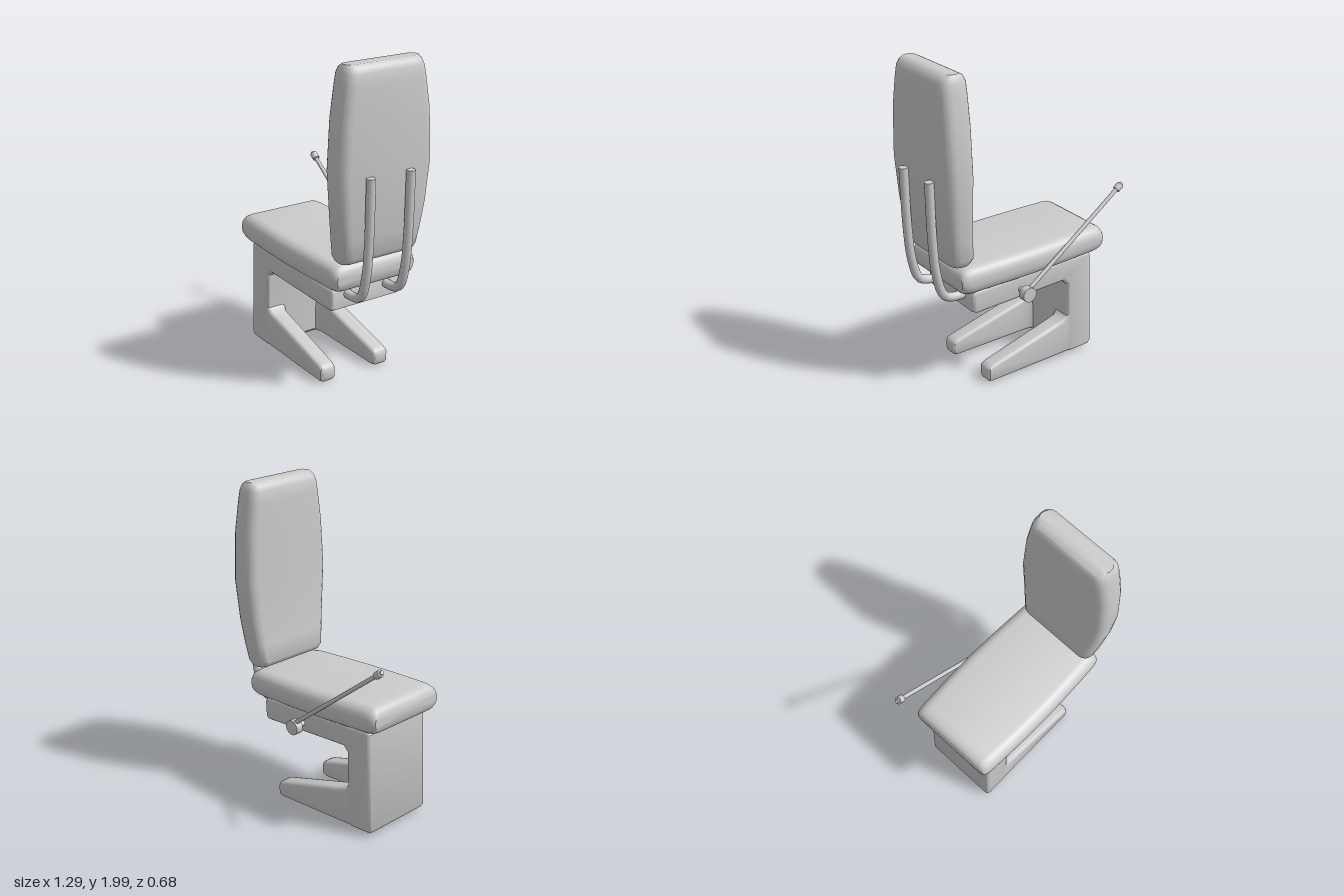
import * as THREE from 'three';
import { toCreasedNormals } from 'three/addons/utils/BufferGeometryUtils.js';

const MID = 0.01; // z of the chair's centre plane
const material = new THREE.MeshStandardMaterial({ color: 0xcccccc });
const V = (x, y, z) => new THREE.Vector3(x, y, z);

function add(group, name, geometry, crease = 0.7) {
  const mesh = new THREE.Mesh(crease ? toCreasedNormals(geometry, crease) : geometry, material);
  mesh.name = name;
  group.add(mesh);
  return mesh;
}

// Skin through rounded rectangles; stations are [t, centreA, centreB, halfA, halfB, radius].
function loft(stations, place, steps = 4) {
  const pos = [], index = [], n = 4 * (steps + 1);
  const push = (t, a, b) => pos.push(...place(t, a, b).toArray());
  for (const [t, ca, cb, ha, hb, r] of stations) {
    for (let c = 0; c < 4; c++) {
      const sa = c === 0 || c === 3 ? 1 : -1, sb = c < 2 ? 1 : -1;
      for (let k = 0; k <= steps; k++) {
        const q = (c + k / steps) * Math.PI / 2;
        push(t, ca + sa * (ha - r) + r * Math.cos(q), cb + sb * (hb - r) + r * Math.sin(q));
      }
    }
  }
  const last = stations.length - 1;
  for (let i = 0; i < last; i++) {
    for (let j = 0; j < n; j++) {
      const p = i * n + j, q = i * n + (j + 1) % n;
      index.push(p, q, q + n, p, q + n, p + n);
    }
  }
  const c0 = pos.length / 3;
  for (const s of [stations[0], stations[last]]) push(s[0], s[1], s[2]);
  for (let j = 0; j < n; j++) {
    const k = (j + 1) % n;
    index.push(c0, k, j, c0 + 1, last * n + j, last * n + k);
  }
  const g = new THREE.BufferGeometry();
  g.setAttribute('position', new THREE.Float32BufferAttribute(pos, 3));
  g.setIndex(index);
  g.computeVertexNormals();
  return g;
}

// Cylinder between two points
function rod(a, b, r, sides = 12) {
  const d = b.clone().sub(a);
  const g = new THREE.CylinderGeometry(r, r, d.length(), sides);
  g.applyQuaternion(new THREE.Quaternion().setFromUnitVectors(V(0, 1, 0), d.normalize()));
  const m = a.clone().add(b).multiplyScalar(0.5);
  return g.translate(m.x, m.y, m.z);
}

export function createModel() {
  const chair = new THREE.Group();
  chair.name = 'chair';
  const alongX = (x, y, z) => V(x, y, z);
  const alongY = (y, z, x) => V(x, y, z);

  // Seat cushion: rounded ends, widest in the middle, tilting down to the back
  const cushion = [
    [-0.55, 0.045, 0.275], [-0.536, 0.068, 0.287], [-0.51, 0.082, 0.293], [-0.47, 0.087, 0.296],
    [-0.25, 0.087, 0.306], [-0.03, 0.087, 0.311], [0.19, 0.087, 0.306],
    [0.41, 0.087, 0.296], [0.45, 0.082, 0.293], [0.476, 0.068, 0.287], [0.49, 0.045, 0.275],
  ].map(([x, hy, hz]) => [x, 0.757 - 0.03 * x, MID, hy, hz, Math.min(0.068, hy * 0.85)]);
  add(chair, 'seatCushion', loft(cushion, alongX));

  // Backrest: [y, x front, x rear, half width]
  const back = [
    [0.845, 0.415, 0.515, 0.25], [0.855, 0.395, 0.535, 0.258], [0.885, 0.38, 0.55, 0.27],
    [1.0, 0.392, 0.565, 0.287], [1.15, 0.405, 0.58, 0.306], [1.4, 0.41, 0.594, 0.325],
    [1.7, 0.414, 0.597, 0.309], [1.88, 0.415, 0.592, 0.283], [1.95, 0.417, 0.587, 0.272],
    [1.982, 0.43, 0.575, 0.262], [2.0, 0.465, 0.545, 0.25],
  ].map(([y, x0, x1, hz]) => [y, MID, (x0 + x1) / 2, hz, (x1 - x0) / 2, Math.min(0.06, (x1 - x0) * 0.4)]);
  add(chair, 'backrest', loft(back, alongY));

  // Pedestal: upright column with the arm that carries the seat
  const outline = [
    [-0.5, 0.055], [-0.485, 0.03], [-0.33, 0.024], [-0.31, 0.045], [-0.3, 0.51], [-0.27, 0.54],
    [0.37, 0.512], [0.395, 0.525], [0.4, 0.63], [0.385, 0.655], [-0.46, 0.688], [-0.478, 0.67],
  ];
  const bevel = 0.02, width = 0.5;
  const pedestal = new THREE.ExtrudeGeometry(
    new THREE.Shape(outline.map(([x, y]) => new THREE.Vector2(x, y))),
    { depth: width - 2 * bevel, bevelSize: bevel, bevelThickness: bevel, bevelOffset: -bevel, bevelSegments: 3 });
  pedestal.translate(0, 0, MID - width / 2 + bevel);
  add(chair, 'pedestal', pedestal);

  // Two tapering feet: [x, bottom, top, inner edge from centre]
  for (const side of [1, -1]) {
    const foot = [
      [-0.42, 0.03, 0.31, 0.11], [-0.32, 0.026, 0.31, 0.11], [-0.305, 0.025, 0.285, 0.12],
      [-0.28, 0.024, 0.264, 0.13], [-0.22, 0.022, 0.247, 0.133], [0.255, 0.006, 0.118, 0.142],
      [0.28, 0.011, 0.106, 0.146], [0.292, 0.025, 0.09, 0.16],
    ].map(([x, y0, y1, inner], i) => {
      const outer = i === 7 ? 0.235 : 0.249;
      return [x, (y0 + y1) / 2, MID + side * (inner + outer) / 2, (y1 - y0) / 2, (outer - inner) / 2, 0.024];
    });
    add(chair, side > 0 ? 'leftFoot' : 'rightFoot', loft(foot, alongX));

    // Bent tube holding the backrest
    const z = MID + side * 0.14;
    const path = new THREE.CatmullRomCurve3([
      [0.36, 0.612], [0.48, 0.612], [0.535, 0.642], [0.58, 0.78], [0.602, 1.0], [0.614, 1.37],
    ].map(([x, y]) => V(x, y, z)));
    const support = new THREE.Group();
    support.name = side > 0 ? 'leftBackSupport' : 'rightBackSupport';
    add(support, 'tube', new THREE.TubeGeometry(path, 32, 0.028, 14), 0);
    add(support, 'tubeEnd', rod(V(0.6139, 1.366, z), V(0.614, 1.371, z), 0.028, 14));
    chair.add(support);
  }

  // Adjusting lever on the side of the pedestal
  const lever = new THREE.Group();
  lever.name = 'lever';
  const z = -0.317;
  add(lever, 'pivotPin', rod(V(0.06, 0.585, -0.22), V(0.06, 0.585, -0.3), 0.016));
  add(lever, 'pivotHub', rod(V(0.06, 0.585, -0.29), V(0.06, 0.585, -0.338), 0.047, 18));
  add(lever, 'rod', rod(V(0.05, 0.615, z), V(-0.61, 1.112, z), 0.013));
  add(lever, 'knob', rod(V(-0.597, 1.102, z), V(-0.63, 1.127, z), 0.023));
  add(lever, 'knobTip', rod(V(-0.625, 1.123, z), V(-0.64, 1.134, z), 0.013));
  chair.add(lever);

  return chair;
}
